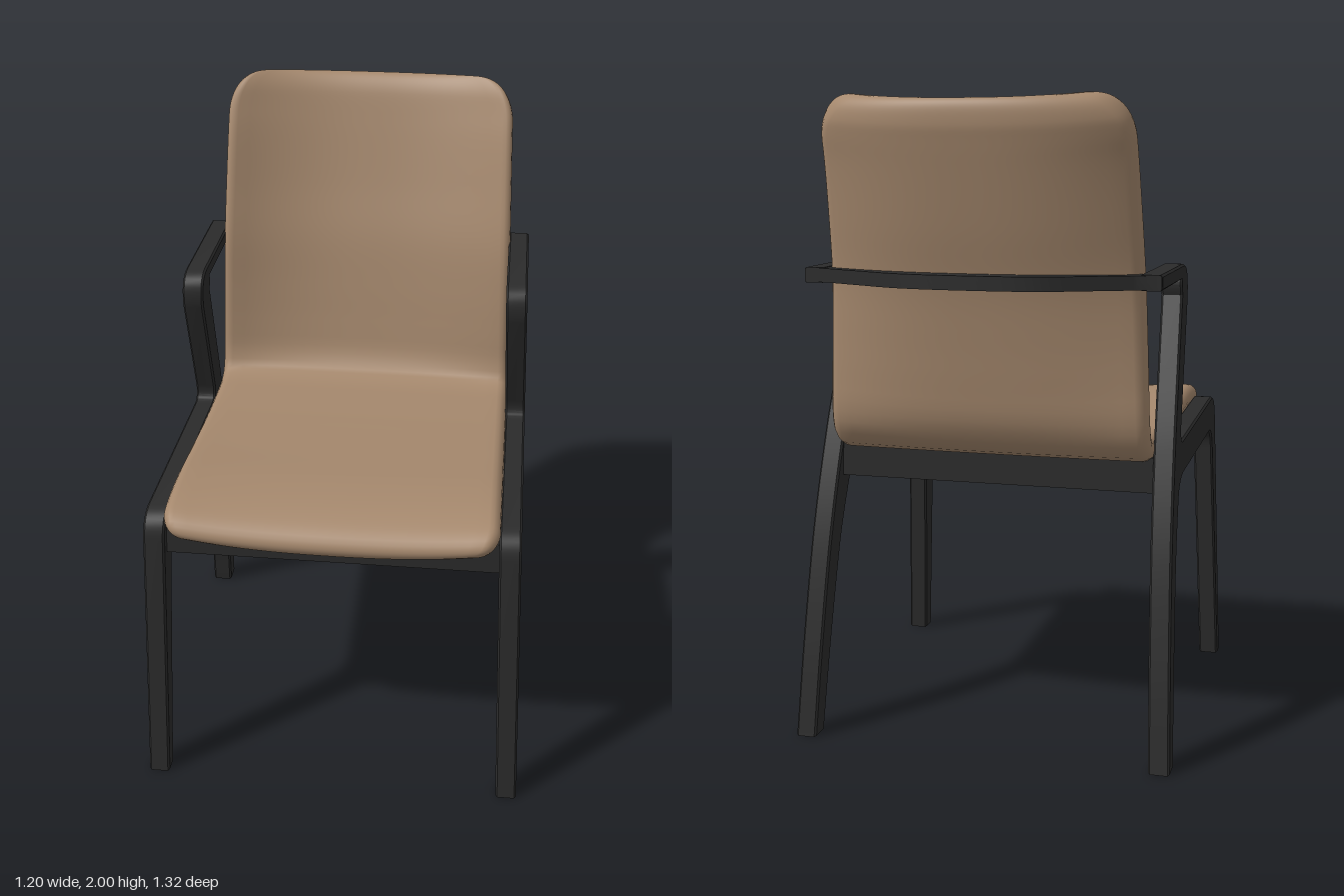
import * as THREE from 'three';
import { toCreasedNormals } from 'three/addons/utils/BufferGeometryUtils.js';

const fabric = new THREE.MeshStandardMaterial({ color: 0xa5886d });
fabric.name = 'tan upholstery';
const wood = new THREE.MeshStandardMaterial({ color: 0x2b2b2b });
wood.name = 'black frame';

function add(group, name, geometry, material) {
  const mesh = new THREE.Mesh(geometry, material);
  mesh.name = name;
  group.add(mesh);
  return mesh;
}

// Quarter-round easing: 0 at the end of the shell, 1 from distance r inwards
const round = (d, r) => (d >= r ? 1 : Math.sqrt(Math.max(0, 1 - (1 - d / r) ** 2)));

// One continuous padded shell: a flat oval section swept from seat front to back top
function shellGeometry() {
  // z, y, depth of the hollow across the width
  const path = new THREE.CatmullRomCurve3([
    [0.644, 0.922, 0.028], [0.615, 0.957, 0.026], [0.55, 0.975, 0.018], [0.42, 0.98, 0.01],
    [0.2, 0.963, 0.005], [0, 0.949, 0], [-0.2, 0.944, 0], [-0.312, 0.95, 0.005],
    [-0.366, 0.98, 0.018], [-0.387, 1.05, 0.038], [-0.389, 1.15, 0.056], [-0.391, 1.3, 0.078],
    [-0.4, 1.47, 0.1], [-0.434, 1.65, 0.115], [-0.484, 1.85, 0.116], [-0.524, 1.945, 0.102],
    [-0.566, 2.0, 0.082],
  ].map((p) => new THREE.Vector3(...p)));
  path.arcLengthDivisions = 800;
  const length = path.getLength();
  const rows = 100, flat = 24, cap = 8, ring = 2 * (flat + cap);
  const pos = [], index = [];
  for (let i = 0; i <= rows; i++) {
    const u = 0.5 - 0.5 * Math.cos((Math.PI * i) / rows);
    const p = path.getPointAt(u), t = path.getTangentAt(u);
    const k = Math.hypot(t.x, t.y), nz = t.y / k, ny = -t.x / k;
    const front = u * length, top = (1 - u) * length;
    const w = 0.503 - 0.036 * Math.max(0, p.y - 1)
      - 0.07 * (1 - round(front, 0.08)) - 0.12 * (1 - round(top, 0.15));
    const half = 0.039 * round(front, 0.045) * round(top, 0.09);
    const e = 0.035;
    // The seat hollows downwards, the back hollows rearwards
    const sagY = p.x > 0 ? p.z : 0.22 * p.z, sagZ = p.x > 0 ? 0 : p.z;
    for (let j = 0; j < ring; j++) {
      const side = j < ring / 2 ? 1 : -1, m = j % (ring / 2);
      let x, n;
      if (m < flat) {
        x = (w - e) * (1 - (2 * m) / flat);
        n = half;
      } else {
        const a = (Math.PI * (m - flat)) / cap;
        x = -(w - e) - e * Math.sin(a);
        n = half * Math.cos(a);
      }
      x *= side;
      n *= side;
      const hollow = 1 - Math.abs(x / w) ** 2.4;
      pos.push(x, p.y + ny * n - sagY * hollow, p.x + nz * n - sagZ * hollow);
      if (i < rows) {
        const a = i * ring + j, b = i * ring + ((j + 1) % ring);
        index.push(a, a + ring, b, b, a + ring, b + ring);
      }
    }
  }
  const g = new THREE.BufferGeometry();
  g.setAttribute('position', new THREE.Float32BufferAttribute(pos, 3));
  g.setIndex(index);
  g.computeVertexNormals();
  return g;
}

// Side frame outline (front leg, seat rail, arm post, armrest, rear leg)
function sideShape() {
  const s = new THREE.Shape();
  const line = (z, y) => s.lineTo(-z, y);
  const bend = (cz, cy, z, y) => s.quadraticCurveTo(-cz, cy, -z, y);
  const curve = (...pts) => s.splineThru(pts.map(([z, y]) => new THREE.Vector2(-z, y)));
  s.moveTo(-0.59, 0);
  line(0.642, 0);
  line(0.612, 0.89);
  bend(0.608, 0.968, 0.53, 0.97);
  line(-0.14, 0.95);
  bend(-0.2, 0.945, -0.175, 1.01);
  line(-0.005, 1.38);
  bend(0.025, 1.49, -0.07, 1.49);
  line(-0.48, 1.49);
  line(-0.48, 1.448);
  line(-0.112, 1.448);
  bend(-0.122, 1.435, -0.11, 1.4);
  line(-0.203, 1.19);
  curve([-0.305, 0.95], [-0.4, 0.65], [-0.472, 0.3], [-0.518, 0]);
  line(-0.452, 0);
  curve([-0.395, 0.3], [-0.325, 0.6], [-0.262, 0.77]);
  bend(-0.235, 0.845, -0.14, 0.847);
  line(0.46, 0.861);
  bend(0.518, 0.859, 0.525, 0.79);
  s.closePath();
  return s;
}

// Extruded side frame, leaning inwards towards the top
function sideGeometry(sign) {
  const b = 0.006;
  const g = new THREE.ExtrudeGeometry(sideShape(), {
    depth: 0.066 - 2 * b, bevelEnabled: true, bevelThickness: b, bevelSize: b,
    bevelOffset: -0.004, bevelSegments: 1, curveSegments: 10,
  });
  g.translate(0, 0, -0.033 + b);
  g.rotateY(Math.PI / 2);
  const p = g.attributes.position;
  for (let i = 0; i < p.count; i++) {
    p.setY(i, Math.max(0, p.getY(i)));
    p.setX(i, p.getX(i) + sign * (0.567 - 0.036 * p.getY(i)));
  }
  return toCreasedNormals(g, 0.45);
}

// Bar joining the armrests, curved round the rear of the backrest
function backBarGeometry() {
  const V = (x, z) => new THREE.Vector2(x, z);
  const s = new THREE.Shape();
  s.moveTo(0.545, 0.482);
  s.lineTo(0.475, 0.488);
  s.splineThru([V(0.36, 0.54), V(0.2, 0.604), V(0, 0.62), V(-0.2, 0.604), V(-0.36, 0.54), V(-0.475, 0.488)]);
  s.lineTo(-0.545, 0.482);
  s.lineTo(-0.485, 0.425);
  s.splineThru([V(-0.4, 0.465), V(-0.2, 0.528), V(0, 0.538), V(0.2, 0.528), V(0.4, 0.465), V(0.485, 0.425)]);
  s.closePath();
  const g = new THREE.ExtrudeGeometry(s, { depth: 0.042, bevelEnabled: false, curveSegments: 6 });
  g.rotateX(-Math.PI / 2);
  g.translate(0, 1.448, 0);
  return toCreasedNormals(g, 0.5);
}

export function createModel() {
  const chair = new THREE.Group();
  chair.name = 'armchair';
  add(chair, 'seatAndBackShell', shellGeometry(), fabric);
  add(chair, 'leftSideFrame', sideGeometry(1), wood);
  add(chair, 'rightSideFrame', sideGeometry(-1), wood);
  add(chair, 'backBar', backBarGeometry(), wood);
  // Cross rails under the seat
  add(chair, 'frontRail', new THREE.BoxGeometry(1.03, 0.1, 0.045), wood).position.set(0, 0.88, 0.56);
  add(chair, 'rearRail', new THREE.BoxGeometry(1.03, 0.11, 0.05), wood).position.set(0, 0.868, -0.285);
  return chair;
}
